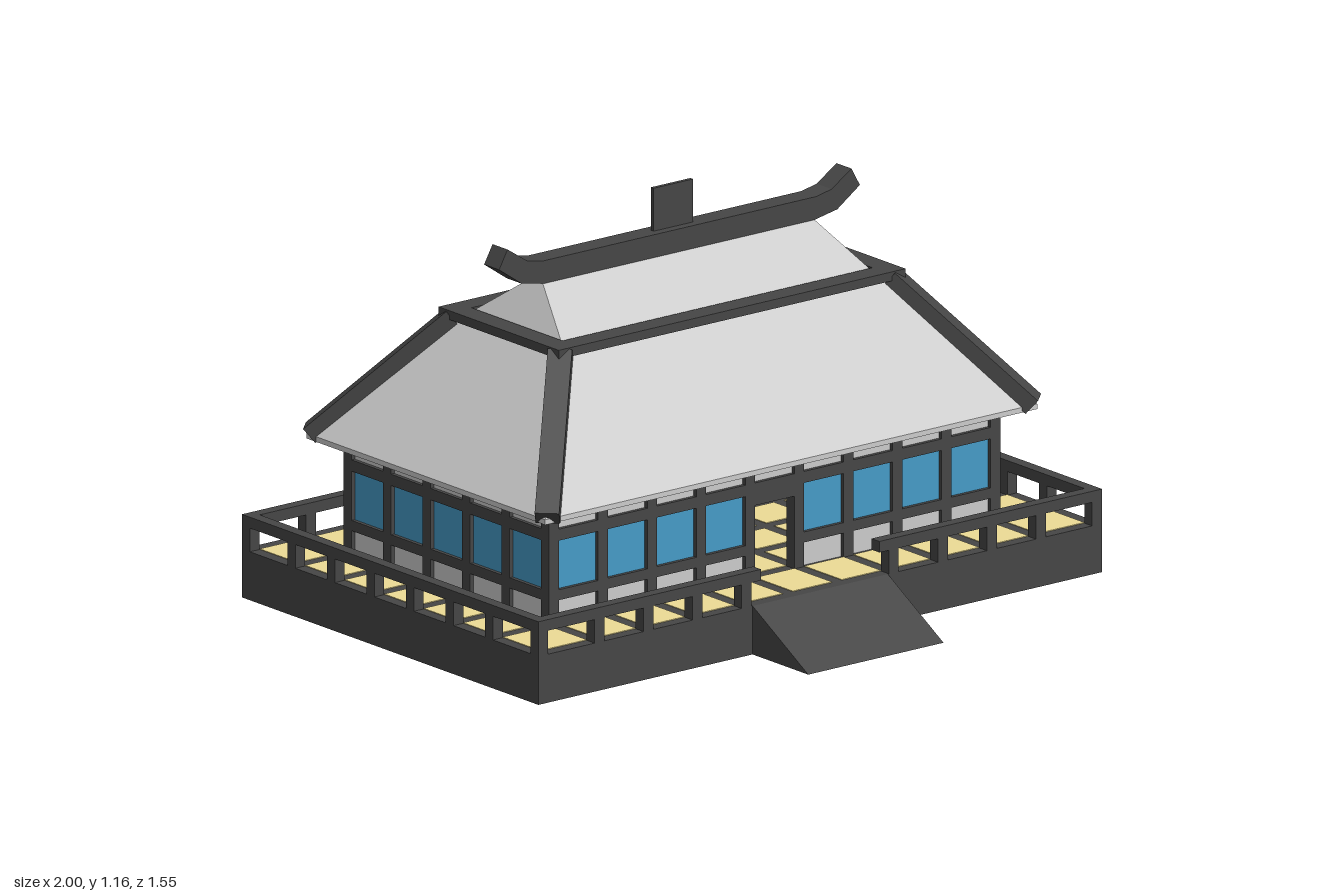
import * as THREE from 'three';

const mat = (color) => new THREE.MeshStandardMaterial({ color, flatShading: true });

export function createModel() {
  const model = new THREE.Group();
  const grey = mat(0xcccccc), dark = mat(0x464646), blue = mat(0x469bc7), straw = mat(0xeedd96);

  // All of the building is symmetric about its own centre; only the ramp extends forward
  const building = new THREE.Group();
  building.name = 'building';
  building.position.z = -0.1225;
  model.add(building);

  const add = (name, geometry, material, parent = building) => {
    const mesh = new THREE.Mesh(geometry, material);
    mesh.name = name;
    parent.add(mesh);
    return mesh;
  };
  // Box given by its min and max on each axis
  const box = (name, material, x0, x1, y0, y1, z0, z1, parent) => {
    const mesh = add(name, new THREE.BoxGeometry(x1 - x0, y1 - y0, z1 - z0), material, parent);
    mesh.position.set((x0 + x1) / 2, (y0 + y1) / 2, (z0 + z1) / 2);
    return mesh;
  };
  // Box whose top has a different half width and half depth from its bottom
  const taper = (name, material, y0, y1, bx, bz, tx, tz) => {
    const g = new THREE.BoxGeometry(2, 1, 2);
    const p = g.attributes.position;
    for (let i = 0; i < p.count; i++) {
      const top = p.getY(i) > 0;
      p.setXYZ(i, p.getX(i) * (top ? tx : bx), top ? y1 : y0, p.getZ(i) * (top ? tz : bz));
    }
    g.computeVertexNormals();
    return add(name, g, material);
  };

  const S = 0.174, H = 0.0175;            // bay spacing, half post width
  const HX = 4.5 * S, HZ = 2.5 * S;       // wall half sizes
  const DX = 1, DZ = 0.6525, deckY = 0.14; // deck half sizes and height
  const colX = Array.from({ length: 10 }, (_, i) => (i - 4.5) * S);
  const colZ = Array.from({ length: 6 }, (_, i) => (i - 2.5) * S);

  // Platform with inset straw mats between dark strips
  box('platform', dark, -DX, DX, 0, deckY, -DZ, DZ);
  const gx = [-DX + H, ...colX, DX - H], gz = [-DZ + H, ...colZ, DZ - H];
  const mats = new THREE.Group();
  mats.name = 'floorMats';
  building.add(mats);
  for (let i = 0; i < gx.length - 1; i++)
    for (let j = 0; j < gz.length - 1; j++)
      box('floorMat', straw, gx[i] + H, gx[i + 1] - H, deckY - 0.01, deckY + 0.002,
        gz[j] + H, gz[j + 1] - H, mats);

  // Entrance ramp
  const wedge = new THREE.Shape([[0, 0], [0.245, 0], [0, deckY]].map(([a, b]) => new THREE.Vector2(a, b)));
  const ramp = add('ramp', new THREE.ExtrudeGeometry(wedge, { depth: 0.48, bevelEnabled: false }), dark);
  ramp.rotation.y = -Math.PI / 2;
  ramp.position.set(0.24, 0, DZ);

  // Railing, open at the ramp
  const railing = new THREE.Group();
  railing.name = 'railing';
  building.add(railing);
  const rail = (x0, x1, z0, z1) => box('handrail', dark, x0, x1, 0.208, 0.24, z0, z1, railing);
  const railPost = (x, z) => box('railPost', dark, x - H, x + H, deckY, 0.21, z - H, z + H, railing);
  rail(-DX, DX, -DZ, -DZ + 2 * H);
  for (const s of [-1, 1]) {
    const x = s * (DX - H);
    rail(x - H, x + H, -DZ, DZ);
    rail(s < 0 ? -DX : 0.21, s < 0 ? -0.21 : DX, DZ - 2 * H, DZ);
    for (const z of gz) railPost(x, z);
  }
  for (const x of colX) {
    railPost(x, -DZ + H);
    if (Math.abs(x) > 0.2) railPost(x, DZ - H);
  }

  // Walls: each is a row of bays along local x, facing local +z
  const wall = (name, bays, doorBay = -1) => {
    const g = new THREE.Group();
    g.name = name;
    for (let i = 0; i < bays; i++) {
      const a = (i - bays / 2) * S + H, b = a + S - 2 * H;
      box('upperPanel', grey, a, b, 0.415, 0.475, -0.006, 0.006, g);
      if (i === doorBay) {
        box('doorLintel', dark, a, b, 0.35, 0.415, -H, H, g);
        continue;
      }
      box('lowerPanel', grey, a, b, deckY, 0.21, -0.006, 0.006, g);
      box('sillBeam', dark, a, b, 0.21, 0.24, -H, H, g);
      box('windowPane', blue, a, b, 0.24, 0.382, -0.006, 0.006, g);
      box('headBeam', dark, a, b, 0.382, 0.415, -H, H, g);
    }
    for (let i = 0; i <= bays; i++) {
      const x = (i - bays / 2) * S;
      box('column', dark, x - H, x + H, deckY, 0.475, -H, H, g);
    }
    building.add(g);
    return g;
  };
  wall('frontWall', 9, 4).position.z = HZ;
  wall('backWall', 9).position.z = -HZ;
  for (const s of [-1, 1]) {
    const side = wall(s > 0 ? 'leftWall' : 'rightWall', 5);
    side.rotation.y = s * Math.PI / 2;
    side.position.x = s * HX;
  }

  // Hipped lower roof and the smaller ridge roof above it
  box('eave', grey, -0.873, 0.873, 0.465, 0.48, -0.525, 0.525);
  taper('lowerRoof', grey, 0.48, 0.845, 0.873, 0.525, 0.58, 0.235);
  taper('upperRoof', grey, 0.84, 0.99, 0.555, 0.21, 0.47, 0);

  // Beams framing the top of the lower roof, and beams down its hips
  for (const s of [-1, 1]) {
    box('roofFrameLong', dark, -0.615, 0.615, 0.832, 0.858, s * 0.2325 - 0.0325, s * 0.2325 + 0.0325);
    box('roofFrameShort', dark, s * 0.5825 - 0.0325, s * 0.5825 + 0.0325, 0.832, 0.858, -0.2, 0.2);
    for (const t of [-1, 1]) {
      const a = new THREE.Vector3(s * 0.585, 0.835, t * 0.235);
      const b = new THREE.Vector3(s * 0.862, 0.481, t * 0.521);
      const hip = new THREE.Mesh(new THREE.BoxGeometry(0.068, 0.052, a.distanceTo(b)), dark);
      hip.name = 'hipBeam';
      hip.position.copy(a).lerp(b, 0.5);
      hip.lookAt(b);
      building.add(hip);
    }
  }

  // Ridge beam with upturned ends
  const half = [[0.48, 0.97], [0.56, 0.985], [0.64, 1.04], [0.61, 1.093], [0.54, 1.047], [0.485, 1.036]];
  const outline = [...half, ...half.map(([x, y]) => [-x, y]).reverse()];
  const ridge = new THREE.Shape(outline.map(([x, y]) => new THREE.Vector2(x, y)));
  add('ridgeBeam', new THREE.ExtrudeGeometry(ridge, { depth: 0.066, bevelEnabled: false }), dark)
    .position.z = -0.033;
  box('ridgePlate', dark, -0.07, 0.07, 1.03, 1.16, -0.006, 0.006);

  return model;
}
